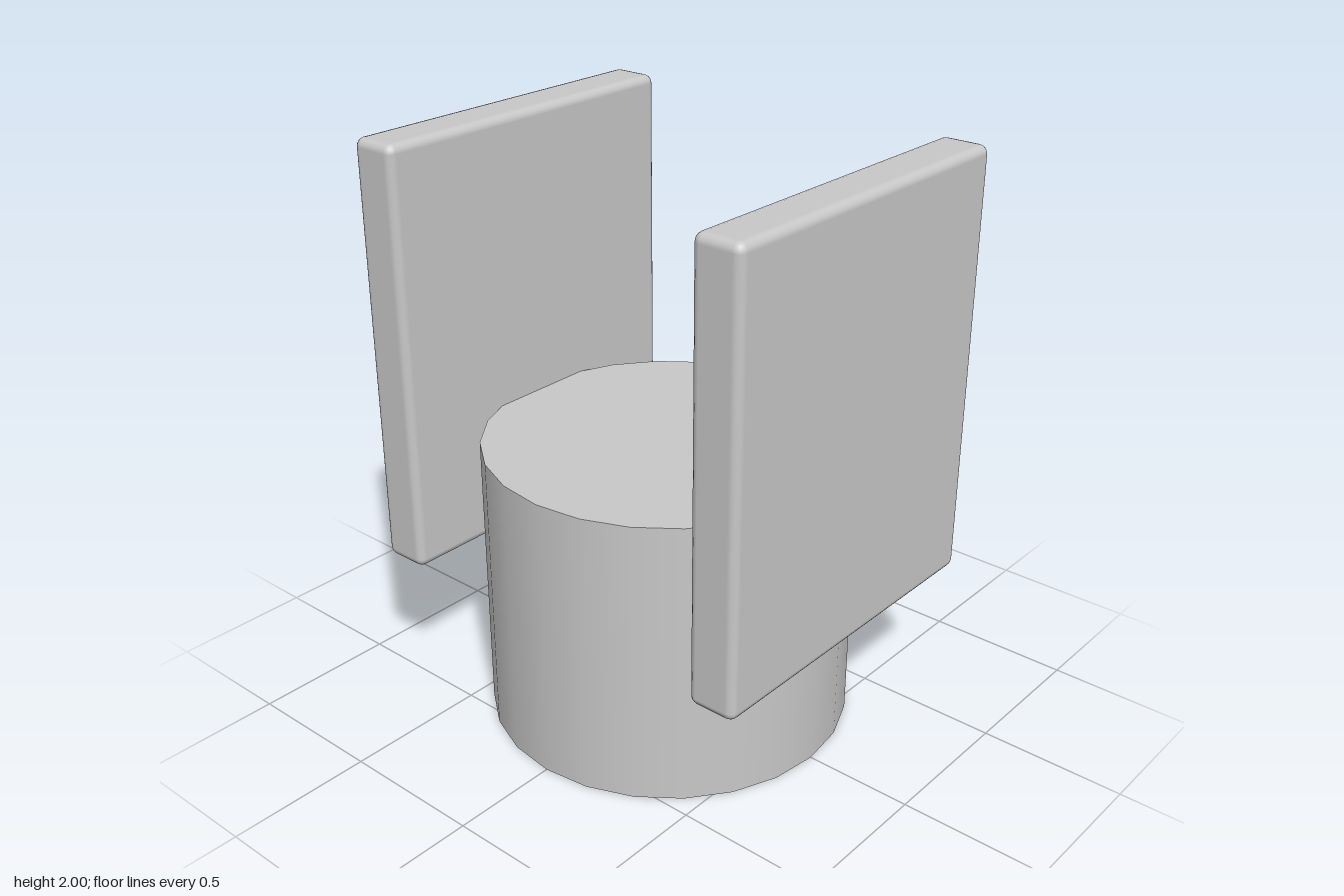
import * as THREE from 'three';
import { RoundedBoxGeometry } from 'three/addons/geometries/RoundedBoxGeometry.js';

export function createModel() {
  const model = new THREE.Group();
  model.name = 'model';

  const lightGrey = new THREE.MeshStandardMaterial({ color: 0xc8c8c8 });
  lightGrey.name = 'lightGrey';

  // Round base, smooth around its 24 sides
  const base = new THREE.Mesh(new THREE.CylinderGeometry(0.625, 0.625, 1, 24), lightGrey);
  base.name = 'base';
  base.position.y = 0.5;
  model.add(base);

  // Two upright plates with softened edges, clasping the base front and back
  const bottom = 0.53, top = 2, inner = 0.59, outer = 0.76;
  const plateGeometry = new RoundedBoxGeometry(1.21, top - bottom, outer - inner, 2, 0.03);
  for (const [name, side] of [['frontPlate', 1], ['backPlate', -1]]) {
    const plate = new THREE.Mesh(plateGeometry, lightGrey);
    plate.name = name;
    plate.position.set(0, (top + bottom) / 2, side * (inner + outer) / 2);
    model.add(plate);
  }

  return model;
}
